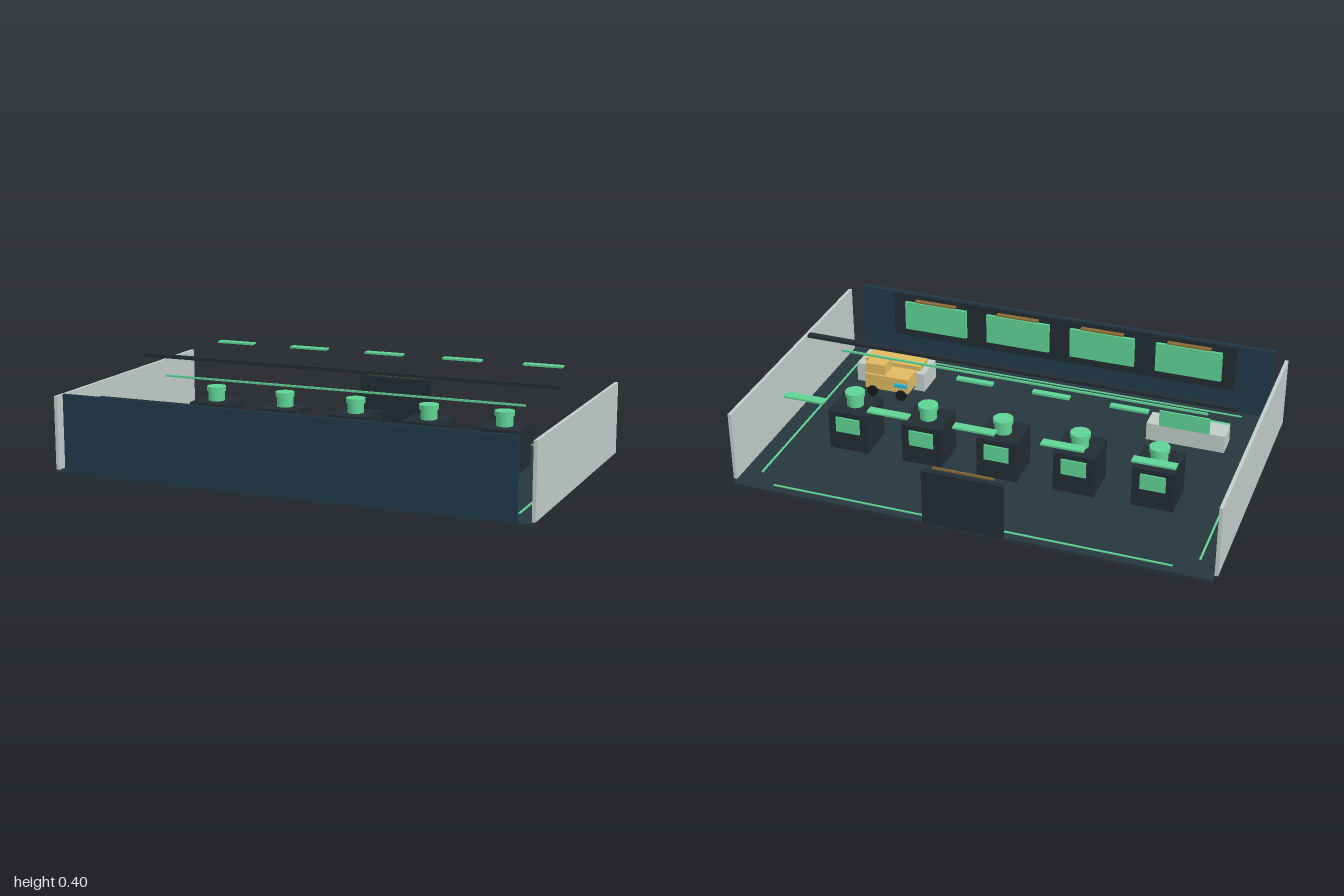
import * as THREE from 'three';

const mat = (color) => new THREE.MeshStandardMaterial({ color });

export function createModel() {
  const root = new THREE.Group();
  const M = {
    floor: mat(0x27363d), wall: mat(0x1f3b4b), dark: mat(0x222c33), pale: mat(0xc2ccc8),
    green: mat(0x5fd495), gold: mat(0xdfb860), bronze: mat(0x8a6a35), black: mat(0x15191c), cyan: mat(0x28b8dc),
  };

  const add = (name, geo, m, parent = root) => {
    const mesh = new THREE.Mesh(geo, m);
    mesh.name = name;
    parent.add(mesh);
    return mesh;
  };
  // Box given by its limits on each axis
  const box = (name, m, [x0, x1], [y0, y1], [z0, z1], parent = root) => {
    const b = add(name, new THREE.BoxGeometry(x1 - x0, y1 - y0, z1 - z0), m, parent);
    b.position.set((x0 + x1) / 2, (y0 + y1) / 2, (z0 + z1) / 2);
    return b;
  };
  const span = (c, w) => [c - w / 2, c + w / 2];

  // Shell: floor, front wall and two pale end walls
  box('floor', M.floor, [-0.987, 0.987], [0, 0.015], [-0.61, 0.615]);
  box('frontWall', M.wall, [-0.94, 0.94], [0.015, 0.335], [0.605, 0.617]);
  for (const s of [-1, 1]) {
    box('endWall', M.pale, span(s * 0.993, 0.014), [0.015, 0.316], [-0.578, 0.588]);
    box('sideFloorStrip', M.green, span(s * 0.912, 0.008), [0.015, 0.019], [-0.5, 0.5]);
    box('endFloorStrip', M.green, [-0.825, 0.825], [0.015, 0.019], span(s * 0.571, 0.008));
  }

  // Overhead beam and hanging light line
  box('ceilingBeam', M.dark, [-0.915, 0.915], [0.387, 0.4], [-0.0125, 0.0125]);
  box('hangingStrip', M.green, [-0.79, 0.79], [0.316, 0.324], [0.042, 0.05]);

  // Display board with four screens on the inside of the front wall
  box('displayBoard', M.dark, [-0.78, 0.78], [0.127, 0.335], [0.588, 0.599]);
  for (let i = 0; i < 4; i++) {
    const x = (i - 1.5) * 0.385;
    box('wallScreen', M.green, span(x, 0.29), [0.168, 0.302], [0.575, 0.588]);
    box('screenTrim', M.bronze, span(x, 0.19), [0.31, 0.317], [0.567, 0.588]);
  }

  // Back entrance panel
  box('entrancePanel', M.dark, [-0.165, 0.165], [0.015, 0.253], [-0.617, -0.597]);
  box('entranceTrim', M.bronze, [-0.125, 0.125], [0.26, 0.268], [-0.599, -0.592]);

  // Five raised back lights, five front floor lights, five pedestals
  for (let i = -2; i <= 2; i++) {
    box('ceilingLight', M.green, span(i * 0.355, 0.17), [0.381, 0.389], [-0.485, -0.446]);
    box('floorLight', M.green, span(i * 0.355, 0.17), [0.015, 0.026], [0.46, 0.488]);

    const p = new THREE.Group();
    p.name = 'pedestal';
    p.position.set(i * 0.324, 0, -0.143);
    root.add(p);
    box('pedestalBase', M.dark, span(0, 0.172), [0.015, 0.19], span(0, 0.168), p);
    box('pedestalScreen', M.green, span(0, 0.104), [0.1, 0.168], [-0.091, -0.084], p);
    add('exhibitColumn', new THREE.CylinderGeometry(0.035, 0.035, 0.045, 24), M.green, p).position.y = 0.2125;
    add('exhibitCap', new THREE.CylinderGeometry(0.041, 0.041, 0.02, 24), M.green, p).position.y = 0.242;
  }

  // Reception desk with upright screen
  box('desk', M.pale, [-0.82, -0.486], [0.015, 0.093], [0.265, 0.363]);
  box('deskScreen', M.green, [-0.755, -0.54], [0.093, 0.165], [0.262, 0.27]);

  // Display platform with a low gold slab
  box('platform', M.pale, [0.535, 0.853], [0.015, 0.1], [0.323, 0.46]);
  box('platformSlab', M.gold, [0.563, 0.822], [0.1, 0.12], [0.347, 0.435]);

  // Small truck beside the platform
  const truck = new THREE.Group();
  truck.name = 'truck';
  root.add(truck);
  box('truckBody', M.gold, [0.57, 0.77], [0.05, 0.118], [0.222, 0.32], truck);
  box('truckCab', M.gold, [0.68, 0.77], [0.118, 0.165], [0.232, 0.312], truck);
  box('truckLamp', M.cyan, [0.573, 0.63], [0.082, 0.096], [0.21, 0.222], truck);
  for (const x of [0.602, 0.735]) {
    for (const z of [0.22, 0.312]) {
      const w = add('truckWheel', new THREE.CylinderGeometry(0.024, 0.024, 0.016, 20), M.black, truck);
      w.rotation.x = Math.PI / 2;
      w.position.set(x, 0.04, z);
    }
  }
  return root;
}
